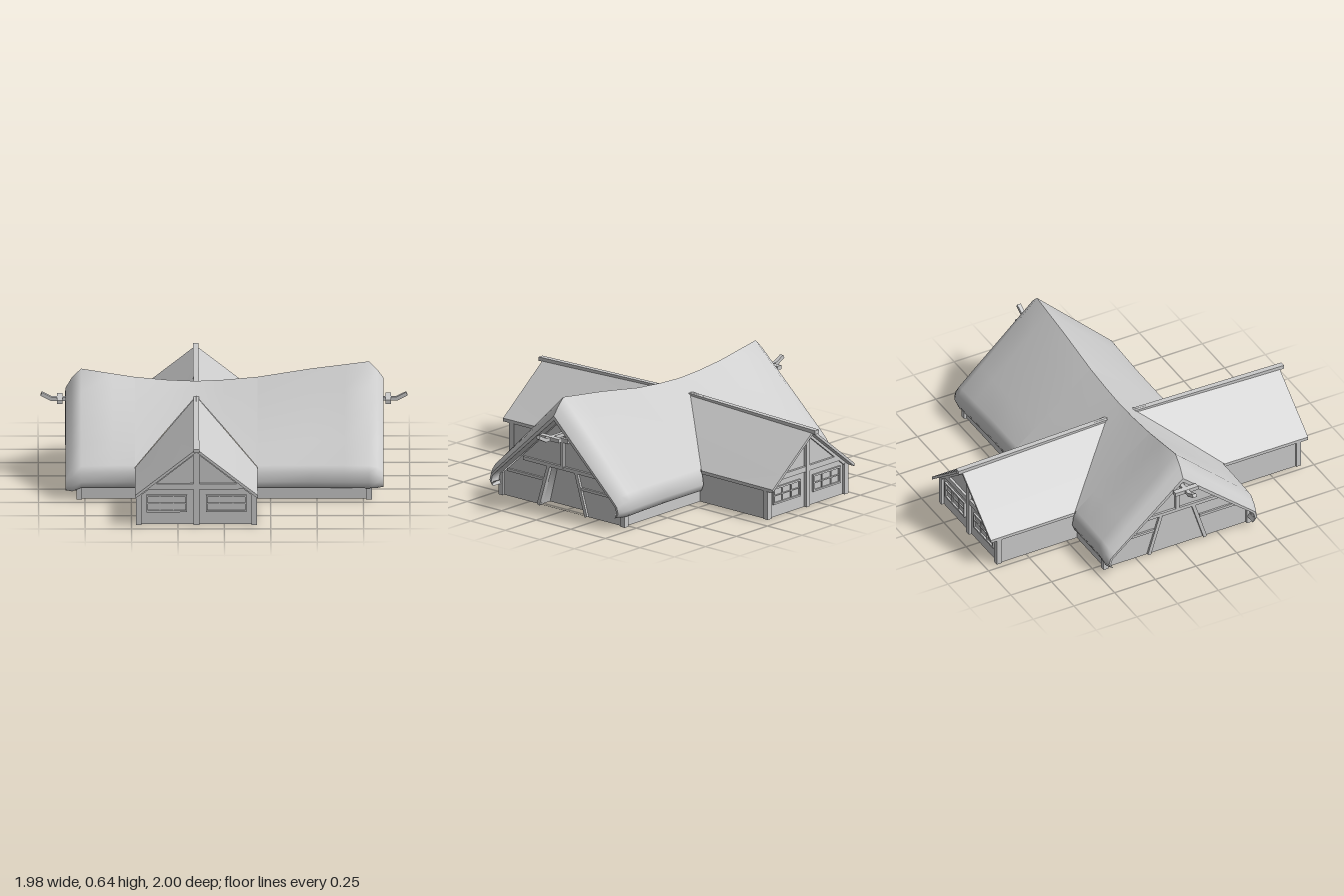
import * as THREE from 'three';

const mat = new THREE.MeshStandardMaterial({ color: 0xcccccc, side: THREE.DoubleSide });
const V = (x, y, z) => new THREE.Vector3(x, y, z);

function add(parent, name, geo) {
  const m = new THREE.Mesh(geo, mat);
  m.name = name;
  parent.add(m);
  return m;
}

// Smooth surface through rows of [x, y, z] points
function loft(rows) {
  const n = rows[0].length, idx = [];
  for (let i = 0; i < rows.length - 1; i++) for (let j = 0; j < n - 1; j++) {
    const a = i * n + j, b = a + n;
    idx.push(a, a + 1, b, b, a + 1, b + 1);
  }
  const g = new THREE.BufferGeometry();
  g.setAttribute('position', new THREE.Float32BufferAttribute(rows.flat(2), 3));
  g.setIndex(idx);
  g.computeVertexNormals();
  return g;
}

// Straight timber from a to b; w is its horizontal width, h its depth
function beam(parent, name, a, b, w, h) {
  const m = add(parent, name, new THREE.BoxGeometry(w, h, a.distanceTo(b)));
  m.position.copy(a).add(b).multiplyScalar(0.5);
  m.lookAt(b);
  return m;
}

function box(parent, name, w, h, d, x, y, z) {
  const m = add(parent, name, new THREE.BoxGeometry(w, h, d));
  m.position.set(x, y, z);
  return m;
}

// Main thatch stations: x, ridge height, shoulder z, shoulder y, eave z, eave y
const stations = [
  [-0.855, 0.49, 0.42, 0.13, 0.455, 0.05],
  [-0.82, 0.55, 0.44, 0.16, 0.468, 0.045],
  [-0.77, 0.60, 0.45, 0.185, 0.475, 0.068],
  [-0.6, 0.572, 0.45, 0.19, 0.475, 0.068],
  [-0.48, 0.553, 0.45, 0.19, 0.475, 0.068],
  [-0.3, 0.536, 0.45, 0.19, 0.475, 0.068],
  [-0.15, 0.53, 0.45, 0.19, 0.475, 0.068],
  [0, 0.537, 0.45, 0.19, 0.475, 0.068],
  [0.18, 0.553, 0.45, 0.19, 0.475, 0.068],
  [0.47, 0.60, 0.45, 0.19, 0.475, 0.068],
  [0.65, 0.623, 0.455, 0.19, 0.482, 0.068],
  [0.78, 0.64, 0.46, 0.19, 0.49, 0.068],
  [0.825, 0.595, 0.452, 0.18, 0.482, 0.068],
  [0.858, 0.55, 0.435, 0.15, 0.465, 0.07],
];
const valleyZ = x => 0.08 + 0.38 * Math.abs(x + 0.15) / 0.33;

function section([x, h, sz, sy, ez, ey]) {
  const pts = [0, 0.25, 0.5, 0.75, 1].map(t => [x, h + (sy - h) * t, sz * t]);
  pts.push([x, sy * 0.72 + ey * 0.28, sz + (ez - sz) * 0.7], [x, sy * 0.3 + ey * 0.7, ez],
    [x, ey, ez - 0.015], [x, ey + 0.02, 0.44]);
  return pts;
}

// Part of the slope above the valley, where the cross wing joins
function valleySection([x, h, sz, sy]) {
  return [0, 0.25, 0.5, 0.75, 1].map(t => {
    const z = valleyZ(x) * t;
    return [x, h - (h - sy) * z / sz, z];
  });
}

function halfMainRoof() {
  const g = new THREE.Group();
  g.name = 'mainRoofSlope';
  add(g, 'thatchRightEnd', loft(stations.slice(0, 5).map(section)));
  add(g, 'thatchMiddle', loft(stations.slice(4, 9).map(valleySection)));
  add(g, 'thatchLeftEnd', loft(stations.slice(8).map(section)));
  // Thickness and underside of the overhang
  for (const s of [stations[0], stations.at(-1)]) {
    const rim = section(s).slice(0, 8);
    const inner = rim.map(([x, y, z]) => [x, y - 0.025 * (1 - z / 0.6), z * 0.975]);
    const wallX = Math.sign(s[0]) * 0.78;
    add(g, 'roofRim', loft([rim, inner]));
    add(g, 'overhangUnderside', loft([inner, inner.map(p => [wallX, p[1], p[2]])]));
  }
  return g;
}

// Front wing, built about its own centre line x = 0
function wing() {
  const g = new THREE.Group();
  g.name = 'crossWing';
  for (const s of [-1, 1]) {
    const top = [], bottom = [];
    for (const t of [0, 0.25, 0.5, 0.75, 1]) {
      const x = s * 0.33 * t;
      top.push([x, 0.468 - 0.288 * t, valleyZ(x - 0.15)]);
      bottom.push([x, 0.438 - 0.26 * t, 0.975]);
    }
    const drop = p => [p[0], p[1] - 0.018, p[2]];
    add(g, 'wingRoof', loft([top, bottom]));
    add(g, 'wingRoofEdge', loft([bottom, bottom.map(drop)]));
    add(g, 'wingEave', loft([[top[4], bottom[4]], [drop(top[4]), drop(bottom[4])]]));
    add(g, 'wingRoofUnderside', loft([bottom.map(drop), bottom.map(p => [p[0], p[1] - 0.018, 0.92])]));
    add(g, 'wingSideWall', new THREE.PlaneGeometry(0.48, 0.175)).position.set(s * 0.318, 0.0875, 0.68);
    g.children.at(-1).rotation.y = s * Math.PI / 2;
    box(g, 'cornerPost', 0.03, 0.175, 0.03, s * 0.31, 0.0875, 0.92);
    beam(g, 'gableRafter', V(s * 0.315, 0.165, 0.925), V(0, 0.415, 0.925), 0.015, 0.02);

    // Window with frame and glazing bars
    const w = new THREE.Group();
    w.name = 'window';
    w.position.set(s * 0.16, 0.118, 0.922);
    for (const k of [-1, 1]) {
      box(w, 'frameRail', 0.22, 0.01, 0.016, 0, k * 0.043, 0);
      box(w, 'frameStile', 0.01, 0.096, 0.016, k * 0.105, 0, 0);
      box(w, 'glazingBar', 0.006, 0.08, 0.008, k * 0.036, 0, 0);
    }
    box(w, 'glazingCrossbar', 0.2, 0.006, 0.008, 0, 0, 0);
    g.add(w);
  }
  const gable = new THREE.Shape([[-0.318, 0], [0.318, 0], [0.318, 0.17], [0, 0.42], [-0.318, 0.17]]
    .map(p => new THREE.Vector2(...p)));
  add(g, 'wingGableWall', new THREE.ShapeGeometry(gable)).position.z = 0.92;
  box(g, 'centrePost', 0.03, 0.42, 0.03, 0, 0.21, 0.922);
  box(g, 'tieBeam', 0.51, 0.03, 0.022, 0, 0.215, 0.922);
  beam(g, 'wingRidgeBeam', V(0, 0.456, 0.08), V(0, 0.434, 1), 0.03, 0.022);
  return g;
}

// Timbered end of the main hall, facing +x
function hallEnd(peak, recess) {
  const g = new THREE.Group();
  g.name = 'hallEnd';
  const X = 0.78;
  const wall = new THREE.Shape([[-0.44, 0], [0.44, 0], [0.44, 0.12], [0, peak], [-0.44, 0.12]]
    .map(p => new THREE.Vector2(...p)));
  const door = [[-0.16, 0.002], [0.16, 0.002], [0.1, 0.225], [-0.1, 0.225]];
  if (recess) wall.holes.push(new THREE.Path(door.map(p => new THREE.Vector2(...p))));
  const m = add(g, 'hallGableWall', new THREE.ShapeGeometry(wall));
  m.rotation.y = Math.PI / 2;
  m.position.x = X;
  if (recess) {
    const ring = x => [1, 2, 3, 0].map(i => [x, door[i][1], door[i][0]]);
    add(g, 'doorReveal', loft([ring(X), ring(X - recess)]));
    const d = add(g, 'doorPanel', new THREE.ShapeGeometry(new THREE.Shape(door.map(p => new THREE.Vector2(...p)))));
    d.rotation.y = Math.PI / 2;
    d.position.x = X - recess;
  }
  for (const s of [-1, 1]) {
    box(g, 'cornerPost', 0.03, 0.13, 0.03, X, 0.065, s * 0.44);
    beam(g, 'slantedJamb', V(X, 0, s * 0.172), V(X, 0.232, s * 0.1), 0.025, 0.02);
    box(g, 'sideRail', 0.02, 0.015, 0.26, X, 0.15, s * 0.27);
  }
  box(g, 'tieBeam', 0.025, 0.02, 0.56, X, 0.24, 0);
  box(g, 'kingPost', 0.03, 0.16, 0.02, X, 0.32, 0);
  box(g, 'bracket', 0.035, 0.025, 0.09, X, 0.4, 0);
  // Ridge horn with its crossbar
  beam(g, 'hornBeam', V(X - 0.01, 0.432, 0), V(0.935, 0.432, 0), 0.022, 0.02);
  beam(g, 'hornTip', V(0.93, 0.432, 0), V(0.985, 0.46, 0), 0.022, 0.02);
  box(g, 'hornCrossbar', 0.03, 0.022, 0.14, 0.885, 0.432, 0);
  return g;
}

export function createModel() {
  const model = new THREE.Group();
  model.name = 'thatchedHall';
  for (const s of [1, -1]) {
    const roof = halfMainRoof();
    roof.scale.z = s;
    const cross = wing();
    cross.position.x = -0.15;
    cross.scale.z = s;
    model.add(roof, cross);

    // Long walls either side of the wing
    for (const [a, b] of [[-0.78, -0.468], [0.168, 0.78]]) {
      const wall = add(model, 'hallSideWall', new THREE.PlaneGeometry(b - a, 0.1));
      wall.position.set((a + b) / 2, 0.05, s * 0.44);
    }
  }
  const left = hallEnd(0.52, 0.07), right = hallEnd(0.46, 0);
  right.scale.x = -1;
  model.add(left, right);
  return model;
}
